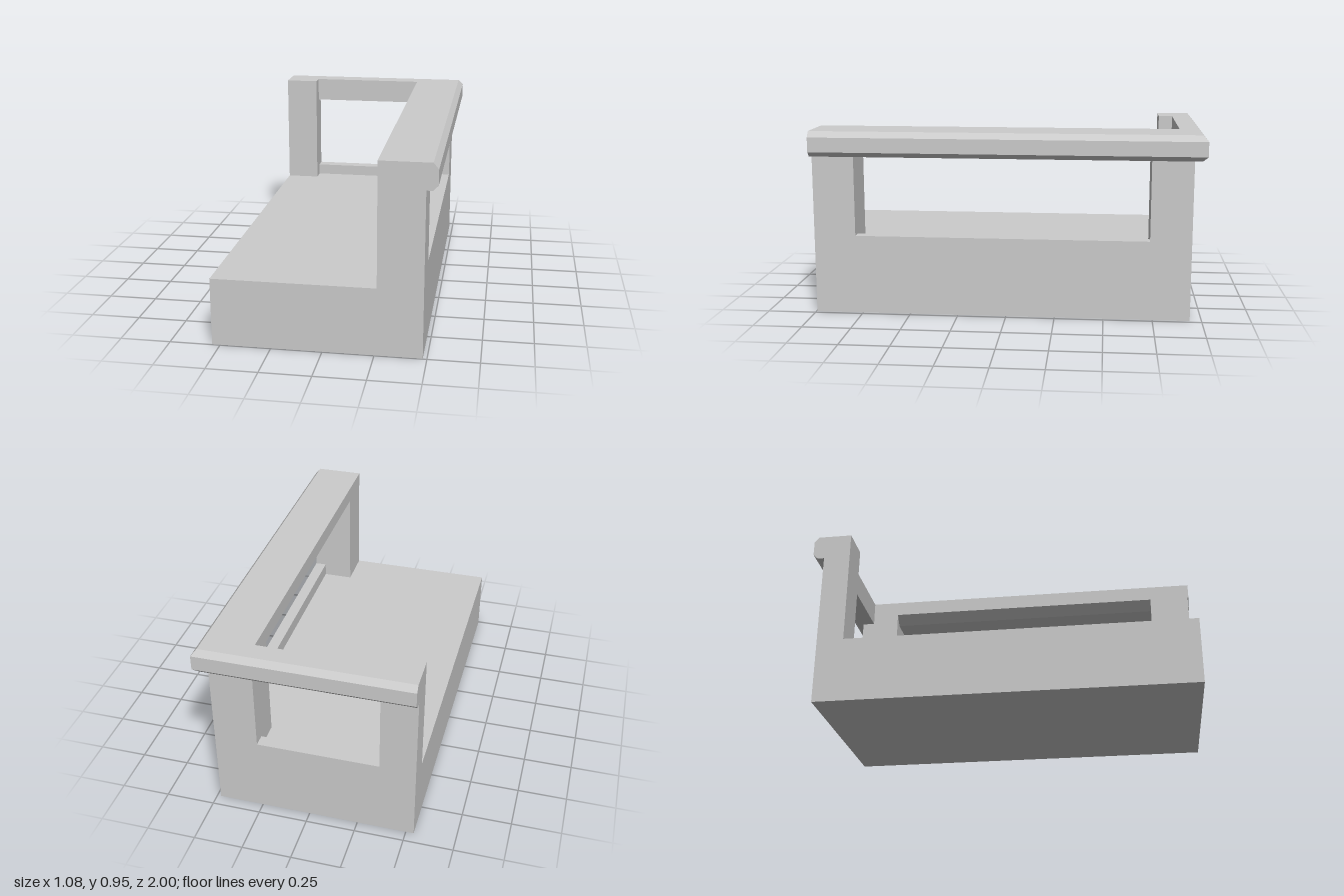
import * as THREE from 'three';

const material = new THREE.MeshStandardMaterial({ color: 0xcccccc, flatShading: true });

// Box given by its min and max corners
function block(name, [x0, y0, z0], [x1, y1, z1]) {
  const geo = new THREE.BoxGeometry(x1 - x0, y1 - y0, z1 - z0);
  geo.translate((x0 + x1) / 2, (y0 + y1) / 2, (z0 + z1) / 2);
  const mesh = new THREE.Mesh(geo, material);
  mesh.name = name;
  return mesh;
}

// L-shaped handrail: a bevelled section swept along the side, mitred, then along the back
function handrail() {
  // x on the side run, height, z on the back run
  const profile = [
    [0.26, 0.955, -0.875], [0.51, 0.955, -0.975], [0.535, 0.925, -1], [0.535, 0.85, -1],
    [0.51, 0.825, -0.975], [0.31, 0.825, -0.875], [0.26, 0.875, -0.875],
  ];
  const n = profile.length;
  const sections = [
    profile.map(([x, y]) => [x, y, 1]),
    profile,
    profile.map(([, y, z]) => [-0.54, y, z]),
  ];
  const index = [];
  for (let s = 0; s < 2; s++) {
    for (let i = 0; i < n; i++) {
      const j = (i + 1) % n;
      const a = s * n + i, b = s * n + j, c = b + n, d = a + n;
      index.push(a, b, c, a, c, d);
    }
  }
  // End caps
  for (let i = 1; i < n - 1; i++) {
    index.push(0, i + 1, i);
    index.push(2 * n, 2 * n + i, 2 * n + i + 1);
  }
  let geo = new THREE.BufferGeometry();
  geo.setAttribute('position', new THREE.Float32BufferAttribute(sections.flat(2), 3));
  geo.setIndex(index);
  geo = geo.toNonIndexed();
  geo.computeVertexNormals();
  const mesh = new THREE.Mesh(geo, material);
  mesh.name = 'handrail';
  return mesh;
}

export function createModel() {
  const model = new THREE.Group();
  model.name = 'balconyCorner';
  const floor = 0.34, top = 0.95;

  model.add(
    block('floorSlab', [-0.54, 0, -0.94], [0.48, floor, 0.995]),
    // Posts
    block('frontPost', [0.26, floor, 0.78], [0.48, top, 0.995]),
    block('cornerPost', [0.26, floor, -0.94], [0.48, top, -0.73]),
    block('endPost', [-0.54, floor, -0.94], [-0.36, 0.955, -0.8]),
    // Low sills under the openings
    block('sideSill', [0.42, floor, -0.73], [0.48, 0.41, 0.78]),
    block('backSill', [-0.36, floor, -0.94], [0.26, 0.4, -0.875]),
    handrail(),
  );
  return model;
}
